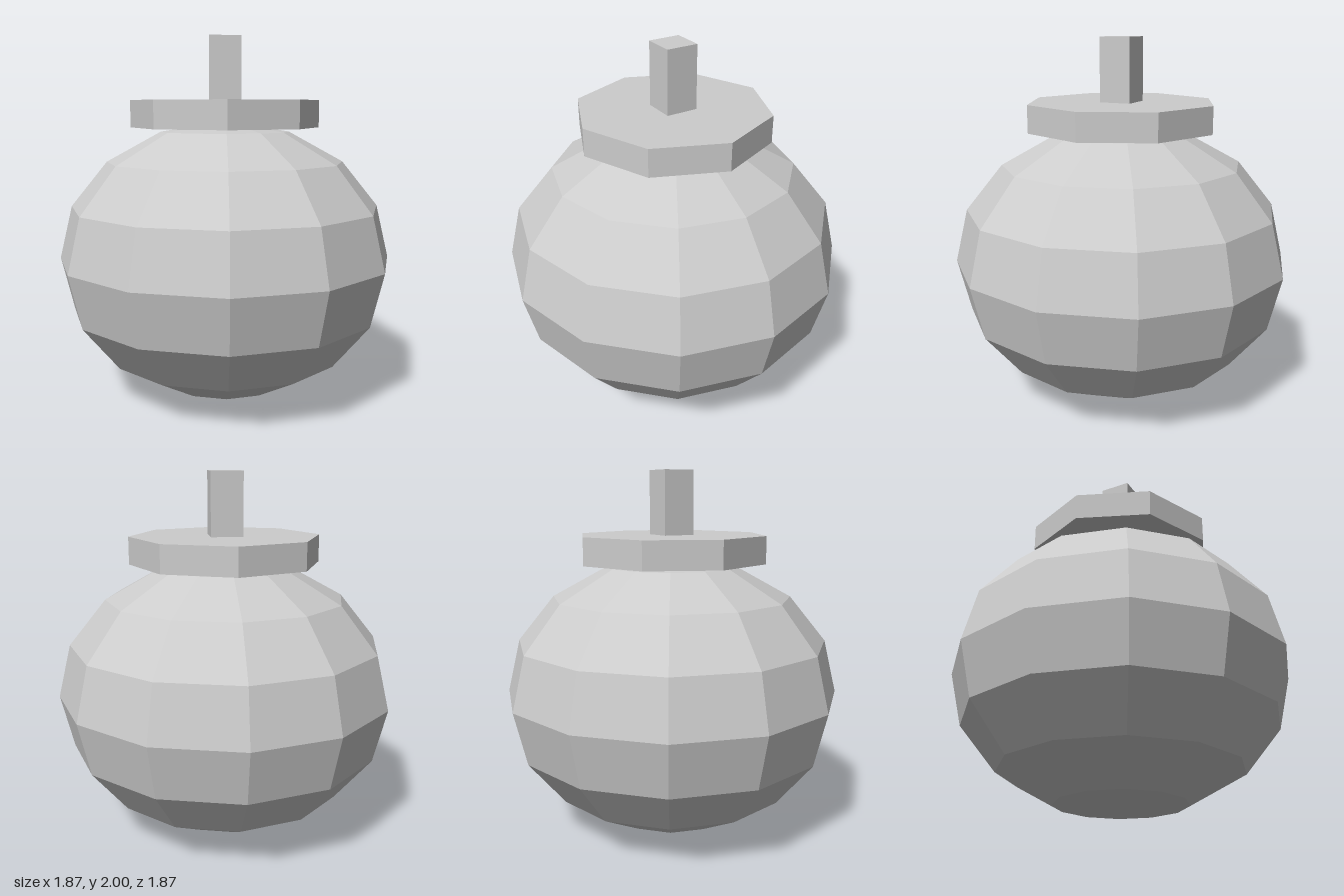
import * as THREE from 'three';

export function createModel() {
  const model = new THREE.Group();
  const grey = new THREE.MeshStandardMaterial({ color: 0xcccccc, flatShading: true });
  grey.name = 'light grey';

  const add = (name, geometry, y) => {
    const mesh = new THREE.Mesh(geometry, grey);
    mesh.name = name;
    mesh.position.y = y;
    model.add(mesh);
  };

  // Slightly squashed faceted ball
  const ball = new THREE.SphereGeometry(0.935, 12, 8);
  ball.scale(1, 0.77 / 0.935, 1);
  add('body', ball, 0.77);

  // Octagonal cap, corners on the x and z axes
  add('cap', new THREE.CylinderGeometry(0.525, 0.525, 0.15, 8), 1.58);

  // Square stem standing on the cap
  add('stem', new THREE.BoxGeometry(0.175, 0.35, 0.175), 1.825);

  return model;
}
